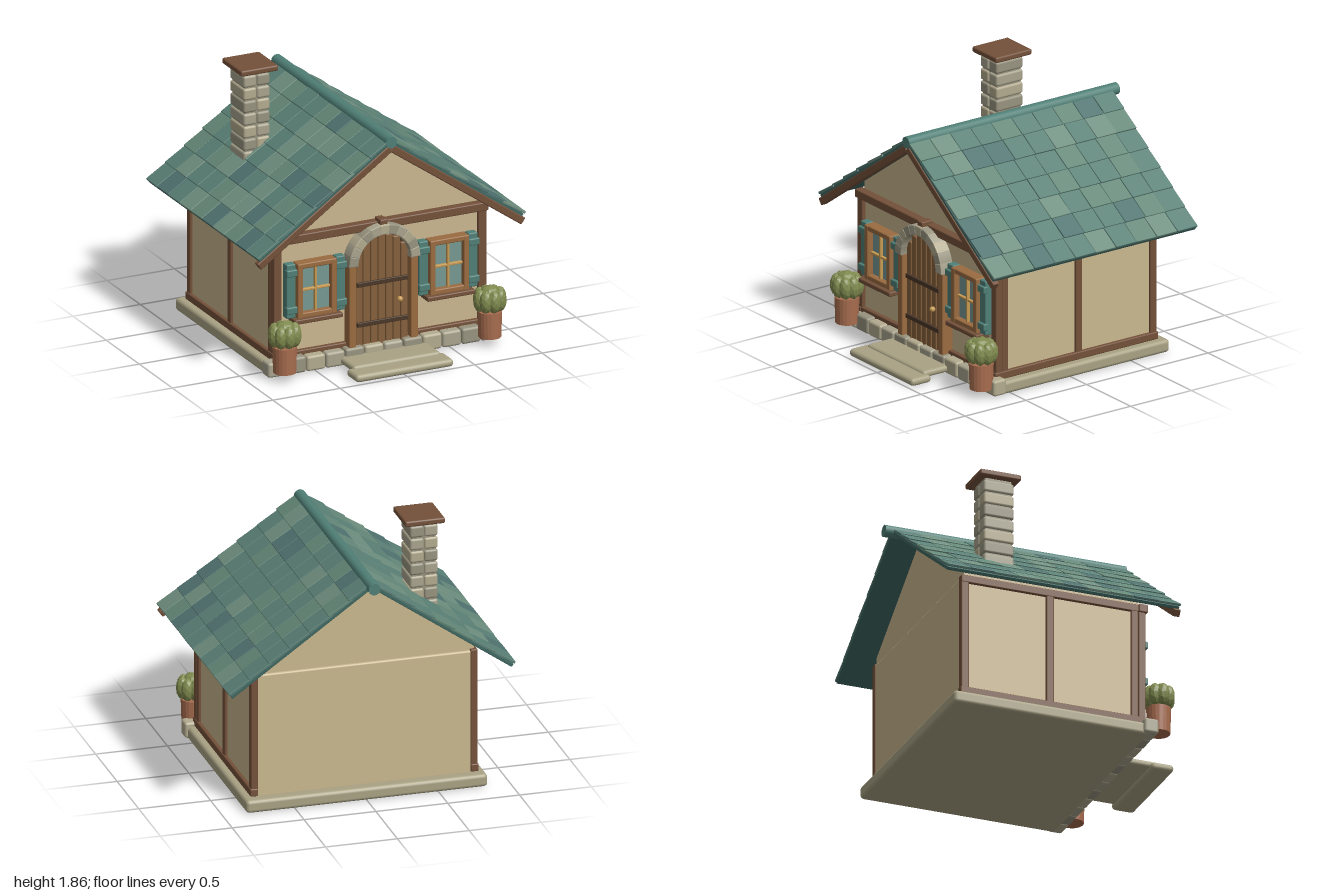
import * as THREE from 'three';
import { RoundedBoxGeometry } from 'three/addons/geometries/RoundedBoxGeometry.js';

const C = {
  wall: 0xc9b78f, wood: 0x74513a, plank: 0x85603c, dark: 0x4a3728, frame: 0x9a6b40, gold: 0xc79a52,
  stone: [0xa9a48e, 0x98937f, 0xb3ab8f], slab: 0xa9a284, teal: 0x4f7f76, deck: 0x3f6862,
  shingle: [0x5a8076, 0x5a8076, 0x6f8f80, 0x507370, 0x648878], glass: 0x769892, pot: 0xa86d4f, leaf: 0x7f8a4e,
};

const mats = new Map();
function mat(color, flat = false) {
  const key = color + (flat ? 'f' : '');
  if (!mats.has(key)) mats.set(key, new THREE.MeshStandardMaterial({ color, flatShading: flat }));
  return mats.get(key);
}

let seed = 7;
const rand = () => (seed = (seed * 16807) % 2147483647) / 2147483647;
const pick = (list) => list[Math.floor(rand() * list.length)];

function add(parent, name, geometry, color, x = 0, y = 0, z = 0, flat = false) {
  const mesh = new THREE.Mesh(geometry, mat(color, flat));
  mesh.name = name;
  mesh.position.set(x, y, z);
  parent.add(mesh);
  return mesh;
}

// Soft-edged block given by its min and max on each axis
function block(parent, name, color, [x0, x1], [y0, y1], [z0, z1], r = 0.008) {
  const w = x1 - x0, h = y1 - y0, d = z1 - z0;
  const geo = new RoundedBoxGeometry(w, h, d, 2, Math.min(r, w / 2.1, h / 2.1, d / 2.1));
  return add(parent, name, geo, color, (x0 + x1) / 2, (y0 + y1) / 2, (z0 + z1) / 2);
}

function group(parent, name) {
  const g = new THREE.Group();
  g.name = name;
  parent.add(g);
  return g;
}

function buildBase(root) {
  const g = group(root, 'base');
  block(g, 'foundationSlab', C.slab, [-0.84, 0.84], [0.01, 0.1], [-0.805, 0.6], 0.025);
  // Row of stones along the front
  for (let i = 0; i < 12; i++) {
    const x = -0.863 + i * 0.144;
    block(g, 'frontStone', C.stone[i % 3], [x, x + 0.139], [0.02, 0.125 + rand() * 0.01], [0.555, 0.658], 0.018);
  }
  block(g, 'upperStep', C.slab, [-0.325, 0.325], [0.032, 0.08], [0.6, 0.85], 0.022);
  block(g, 'lowerStep', C.slab, [-0.362, 0.362], [0.008, 0.062], [0.81, 0.972], 0.025);
}

function buildWalls(root) {
  const g = group(root, 'walls');
  block(g, 'wallBlock', C.wall, [-0.77, 0.77], [0.09, 0.97], [-0.73, 0.565], 0.012);
  const s = new THREE.Shape([[-0.77, 0.95], [0.77, 0.95], [0.77, 1.035], [0, 1.575], [-0.77, 1.035]]
    .map(([x, y]) => new THREE.Vector2(x, y)));
  add(g, 'gable', new THREE.ExtrudeGeometry(s, { depth: 1.255, bevelEnabled: false }), C.wall, 0, 0, -0.71);

  // Timber frame
  block(g, 'frontTopBeam', C.wood, [-0.8, 0.8], [0.925, 0.985], [0.54, 0.605]);
  block(g, 'frontBottomBeam', C.wood, [-0.78, 0.78], [0.1, 0.157], [0.54, 0.595]);
  for (const s of [-1, 1]) {
    const span = (a, b) => (s > 0 ? [a, b] : [-b, -a]);
    block(g, 'frontPost', C.wood, span(0.73, 0.79), [0.1, 0.96], [0.54, 0.592]);
    for (const [z0, z1] of [[0.488, 0.54], [-0.122, -0.068], [-0.735, -0.68]])
      block(g, 'sidePost', C.wood, span(0.74, 0.788), [0.1, 0.96], [z0, z1]);
    block(g, 'sideBottomBeam', C.wood, span(0.74, 0.795), [0.103, 0.157], [-0.742, 0.6]);
    block(g, 'sideTopBeam', C.wood, span(0.74, 0.79), [0.925, 0.98], [-0.735, 0.59]);
  }
}

function buildDoor(root) {
  const g = group(root, 'door');
  const cy = 0.71;
  // Dark arched backing
  const back = new THREE.Shape();
  back.moveTo(-0.21, 0.1);
  back.lineTo(0.21, 0.1);
  back.lineTo(0.21, cy);
  back.absarc(0, cy, 0.21, 0, Math.PI, false);
  add(g, 'doorBacking', new THREE.ExtrudeGeometry(back, { depth: 0.03, bevelEnabled: false, curveSegments: 24 }), C.dark, 0, 0, 0.56);
  // Planks stepped to follow the arch
  for (let i = -3; i <= 3; i++) {
    const x = i * 0.056;
    const top = cy + Math.sqrt(0.205 ** 2 - x * x) - 0.02;
    block(g, 'doorPlank', C.plank, [x - 0.026, x + 0.026], [0.11, top], [0.58, 0.615]);
  }
  for (const y of [0.275, 0.56]) block(g, 'doorBand', C.dark, [-0.188, 0.188], [y - 0.016, y + 0.016], [0.6, 0.63], 0.004);
  add(g, 'doorKnob', new THREE.SphereGeometry(0.02, 16, 12), C.gold, 0.125, 0.417, 0.635);
  for (const s of [-1, 1])
    block(g, 'doorJamb', C.frame, [s * 0.229 - 0.026, s * 0.229 + 0.026], [0.105, 0.72], [0.555, 0.645]);
  // Ring of wedge stones
  const n = 11, step = Math.PI / n;
  for (let i = 0; i < n; i++) {
    const a = i * step + 0.022, b = (i + 1) * step - 0.022;
    const s = new THREE.Shape();
    s.absarc(0, 0, 0.258, a, b, false);
    s.absarc(0, 0, 0.202, b, a, true);
    const geo = new THREE.ExtrudeGeometry(s, {
      depth: 0.09, bevelThickness: 0.007, bevelSize: 0.007, bevelSegments: 2, curveSegments: 4,
    });
    add(g, 'archStone', geo, C.stone[i % 3], 0, cy, 0.567);
  }
  block(g, 'keyPeg', C.wood, [-0.028, 0.028], [0.968, 1.008], [0.56, 0.65]);
}

function buildWindow(root, cx) {
  const g = group(root, 'window');
  g.position.x = cx;
  block(g, 'glass', C.glass, [-0.12, 0.12], [0.42, 0.77], [0.56, 0.6], 0.002);
  for (const s of [-1, 1]) {
    block(g, 'frameSide', C.frame, [s * 0.125 - 0.02, s * 0.125 + 0.02], [0.4, 0.79], [0.56, 0.645]);
    const y = 0.595 + s * 0.176;
    block(g, 'frameRail', C.frame, [-0.14, 0.14], [y - 0.019, y + 0.019], [0.56, 0.642]);
    // Shutter with two battens
    const sx = s * 0.184;
    block(g, 'shutter', C.teal, [sx - 0.034, sx + 0.034], [0.405, 0.79], [0.56, 0.622]);
    for (const by of [0.465, 0.73])
      block(g, 'shutterBatten', C.teal, [sx - 0.04, sx + 0.04], [by - 0.025, by + 0.025], [0.6, 0.64]);
  }
  block(g, 'mullion', C.gold, [-0.009, 0.009], [0.43, 0.76], [0.59, 0.622], 0.004);
  block(g, 'glazingBar', C.gold, [-0.11, 0.11], [0.584, 0.602], [0.59, 0.62], 0.004);
  block(g, 'sill', C.wood, [-0.178, 0.178], [0.372, 0.405], [0.55, 0.67]);
}

function buildRoof(root) {
  const g = group(root, 'roof');
  const slope = THREE.MathUtils.degToRad(35);
  for (const s of [-1, 1]) {
    // Local x runs down the slope, local y is the roof normal
    const side = group(g, s > 0 ? 'leftSlope' : 'rightSlope');
    side.position.y = 1.58;
    side.rotation.z = -s * slope;
    const span = (a, b) => (s > 0 ? [a, b] : [-b, -a]);
    block(side, 'roofDeck', C.deck, span(0, 1.186), [0, 0.024], [-0.915, 0.755], 0.004);
    block(side, 'bargeBoard', C.wood, span(0.02, 1.212), [-0.046, 0.006], [0.712, 0.762]);
    // Overlapping shingles, lower ends tipped up
    const rows = 7, cols = 10, pitch = 1.186 / rows, w = 1.68 / cols;
    for (let r = 0; r < rows; r++) {
      for (let c = 0; c < cols; c++) {
        const shift = r % 2 && c < cols - 1 ? -0.008 : 0;
        const len = pitch + 0.02 + rand() * 0.008;
        const geo = new RoundedBoxGeometry(len, 0.018, w - 0.003, 1, 0.004);
        const u = (r + 1) * pitch - len / 2 + 0.004;
        const tile = add(side, 'shingle', geo, pick(C.shingle), s * u, 0.029 + rand() * 0.004, 0.762 - (c + 0.5) * w + shift);
        tile.rotation.z = s * 0.05;
        tile.rotation.y = (rand() - 0.5) * 0.03;
      }
    }
  }
  const ridge = add(g, 'ridgePole', new THREE.CylinderGeometry(0.041, 0.041, 1.735, 16), C.teal, 0, 1.595, -0.105);
  ridge.rotation.x = Math.PI / 2;
}

function buildChimney(root) {
  const g = group(root, 'chimney');
  block(g, 'chimneyCore', C.stone[1], [-0.575, -0.405], [1.15, 1.83], [-0.48, -0.285]);
  for (let i = 0; i < 7; i++) {
    const y = 1.767 - i * 0.09;
    for (const s of [-1, 1]) {
      const x = -0.49 + s * 0.049;
      block(g, 'chimneyStone', C.stone[(i * 2 + (s > 0 ? 1 : 0)) % 3], [x - 0.048, x + 0.048], [y - 0.041, y + 0.041], [-0.49, -0.272], 0.016);
    }
  }
  block(g, 'chimneyCap', C.wood, [-0.625, -0.348], [1.825, 1.866], [-0.53, -0.235], 0.012);
}

function buildPlant(root, x) {
  const g = group(root, 'pottedPlant');
  g.position.set(x, 0, 0.695);
  const profile = [[0, 0.066], [0.078, 0.066], [0.084, 0.25], [0.068, 0.25], [0.066, 0.225], [0, 0.225]]
    .map(([r, y]) => new THREE.Vector2(r, y));
  add(g, 'pot', new THREE.LatheGeometry(profile, 20), C.pot, 0, 0, 0, true);
  // Bush of faceted lobes around a central one
  const lobe = (px, py, pz, r, h) => {
    const m = add(g, 'leafLobe', new THREE.IcosahedronGeometry(r, 1), C.leaf, px, py, pz, true);
    m.scale.y = h;
  };
  lobe(0, 0.345, 0, 0.085, 1);
  for (let i = 0; i < 8; i++) {
    const a = (i / 8) * Math.PI * 2;
    lobe(Math.cos(a) * 0.073, 0.33, Math.sin(a) * 0.068, 0.046, 1.75);
  }
}

export function createModel() {
  const root = new THREE.Group();
  root.name = 'cottage';
  seed = 7;
  buildBase(root);
  buildWalls(root);
  buildDoor(root);
  buildRoof(root);
  buildChimney(root);
  for (const s of [-1, 1]) {
    buildWindow(root, s * 0.492);
    buildPlant(root, s * 0.762);
  }
  return root;
}
